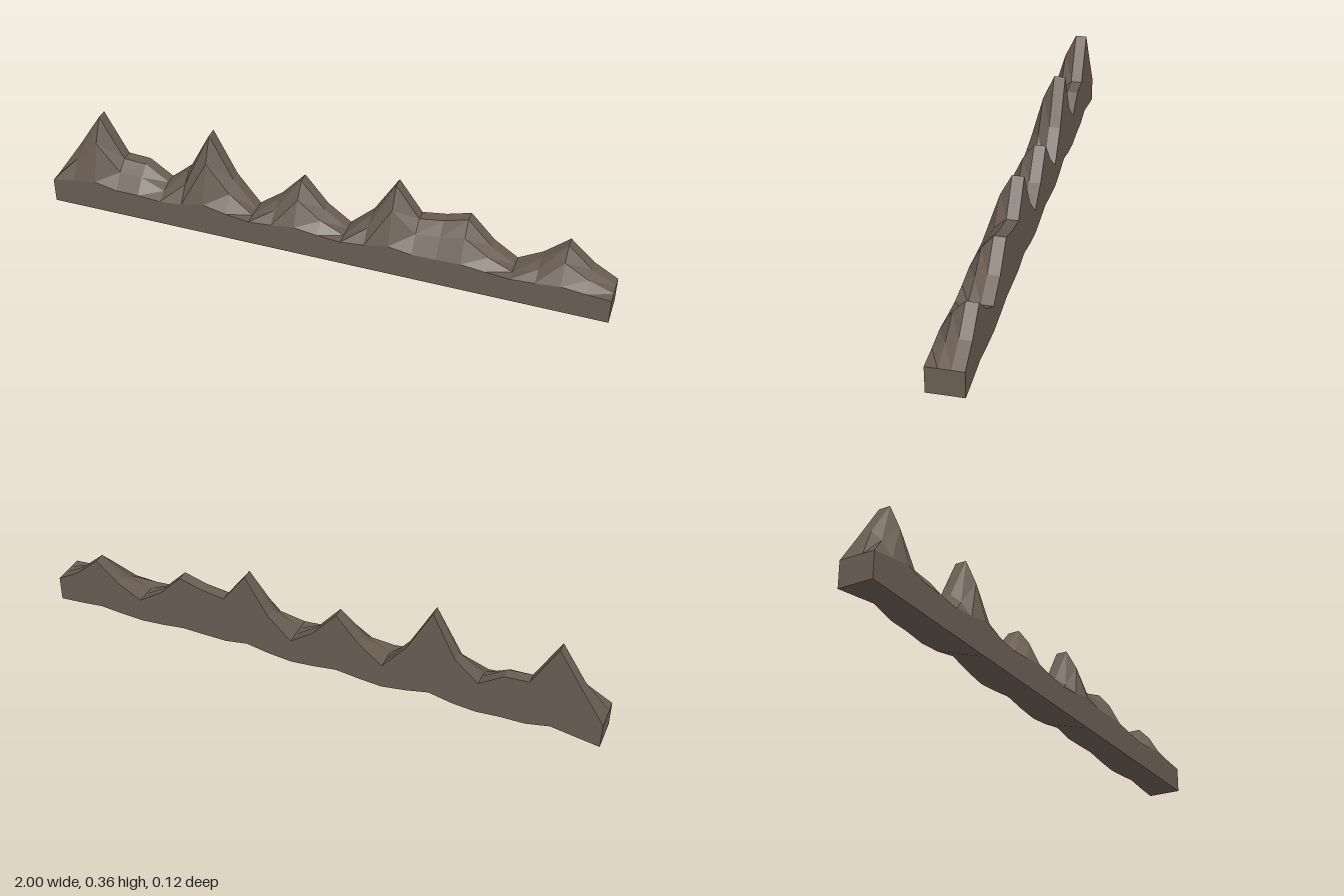
import * as THREE from 'three';

// Ridge height at evenly spaced stations from x = -1 to x = 1
const RIDGE = [
  0.09, 0.215, 0.343, 0.187, 0.182, 0.125, 0.198, 0.358, 0.195, 0.09, 0.155, 0.25, 0.15,
  0.09, 0.17, 0.31, 0.195, 0.208, 0.233, 0.145, 0.09, 0.138, 0.213, 0.138, 0.09,
];
const BASE = 0.09;
// Slope rows, front to back: depth and share of the ridge's rise
const ROWS = [[0.06, 0.113], [0.02, 0.66], [-0.02, 1], [-0.06, 1]];

// Closed cross-section: front foot, up over the slope, down to the back foot
function section(height, i) {
  const x = -1 + (2 * i) / (RIDGE.length - 1);
  const rise = height - BASE;
  return [
    new THREE.Vector3(x, 0, 0.06),
    ...ROWS.map(([z, share]) => new THREE.Vector3(x, BASE + rise * share, z)),
    new THREE.Vector3(x, rise * ROWS[0][1], -0.06), // slightly uneven back foot
  ];
}

function ridgeGeometry() {
  const sections = RIDGE.map(section);
  const points = [];
  const n = sections[0].length;

  // Skin between neighbouring sections
  for (let i = 0; i < sections.length - 1; i++) {
    for (let j = 0; j < n; j++) {
      const k = (j + 1) % n;
      const a = sections[i][j], b = sections[i + 1][j];
      const c = sections[i + 1][k], d = sections[i][k];
      points.push(a, b, c, a, c, d);
    }
  }

  // End caps
  const first = sections[0], last = sections[sections.length - 1];
  for (let j = 1; j < n - 1; j++) {
    points.push(first[0], first[j], first[j + 1]);
    points.push(last[0], last[j + 1], last[j]);
  }

  const geometry = new THREE.BufferGeometry().setFromPoints(points);
  geometry.computeVertexNormals();
  return geometry;
}

export function createModel() {
  const rock = new THREE.MeshStandardMaterial({ color: 0x6a5d52, flatShading: true });
  rock.name = 'rock brown';

  const ridge = new THREE.Mesh(ridgeGeometry(), rock);
  ridge.name = 'mountainRidge';

  const group = new THREE.Group();
  group.name = 'mountainRange';
  group.add(ridge);
  return group;
}
